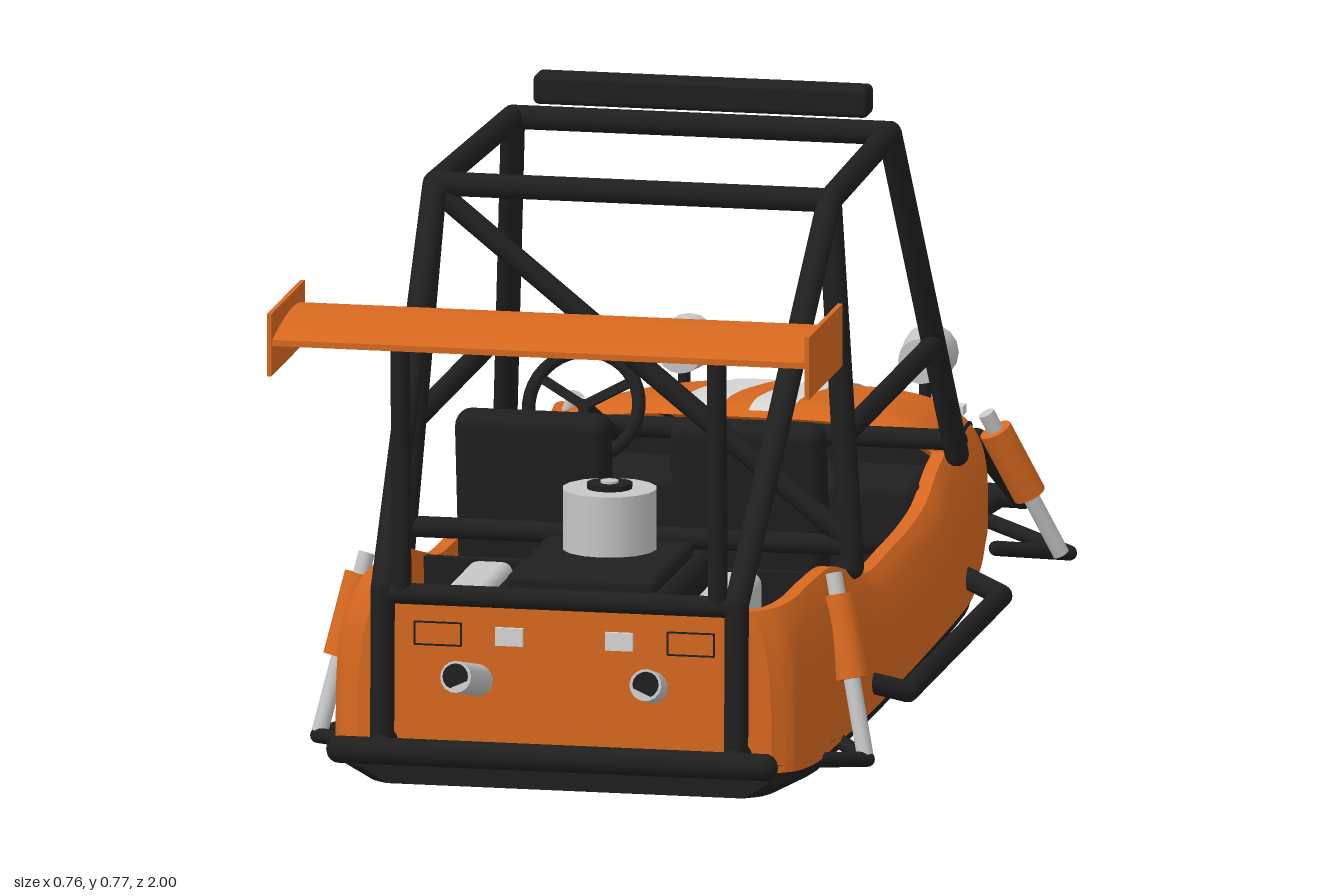
import * as THREE from 'three';
import { toCreasedNormals } from 'three/addons/utils/BufferGeometryUtils.js';
import { RoundedBoxGeometry } from 'three/addons/geometries/RoundedBoxGeometry.js';

const mat = (name, color, side = THREE.FrontSide) => Object.assign(new THREE.MeshStandardMaterial({ color, side }), { name });
const orange = mat('orange paint', 0xd9691f, THREE.DoubleSide);
const black = mat('black', 0x1f1f1f, THREE.DoubleSide);
const silver = mat('silver', 0xc6c6c6);
const white = mat('pale stripe', 0xd9d9d6, THREE.DoubleSide);
const V = (x, y, z) => new THREE.Vector3(x, y, z);

// Body plan: half width, crown height and z along the car
const BASE = 0.05, E = 0.5, RIM = 0.766;
const curve = (keys) => new THREE.CatmullRomCurve3(keys.map(k => V(...k)));
const hoodCurve = curve([[0.12, 0.07, -0.93], [0.165, 0.105, -0.915], [0.2, 0.145, -0.88], [0.225, 0.198, -0.8],
  [0.246, 0.234, -0.7], [0.263, 0.254, -0.6], [0.28, 0.27, -0.5], [0.297, 0.287, -0.38], [0.31, 0.293, -0.3], [0.315, 0.285, -0.25]]);
const tubCurve = curve([[0.315, 0.25, -0.25], [0.318, 0.24, -0.18], [0.32, 0.215, -0.1], [0.322, 0.206, 0], [0.324, 0.205, 0.15], [0.325, 0.207, 0.3],
  [0.325, 0.235, 0.42], [0.324, 0.262, 0.53], [0.322, 0.267, 0.65], [0.318, 0.266, 0.76], [0.302, 0.265, 0.81], [0.275, 0.264, 0.83]]);
const arc = (w, h, a) => [w * Math.sign(Math.cos(a)) * Math.abs(Math.cos(a)) ** E, BASE + (h - BASE) * Math.abs(Math.sin(a)) ** E];
const hoodY = (x, w, h) => BASE + (h - BASE) * (1 - (Math.abs(x) / w) ** (2 / E)) ** (E / 2);
const samples = (c, n, t0 = 0, t1 = 1) => Array.from({ length: n + 1 }, (_, i) => c.getPoint(t0 + (t1 - t0) * i / n));

// Surface through equal rows of points
function loft(rows, crease = 0.7) {
  const n = rows[0].length, idx = [];
  for (let i = 0; i < rows.length - 1; i++) for (let j = 0; j < n - 1; j++) {
    const a = i * n + j, c = a + n;
    idx.push(a, a + 1, c, a + 1, c + 1, c);
  }
  const g = new THREE.BufferGeometry();
  g.setAttribute('position', new THREE.Float32BufferAttribute(rows.flat(2), 3));
  g.setIndex(idx);
  return toCreasedNormals(g, crease);
}

export function createModel() {
  const model = new THREE.Group();
  model.name = 'buggy';
  const add = (name, geo, m, x = 0, y = 0, z = 0) => {
    const o = new THREE.Mesh(geo, m);
    o.name = name;
    o.position.set(x, y, z);
    model.add(o);
    return o;
  };
  const box = (name, m, w, h, d, x, y, z) => add(name, new THREE.BoxGeometry(w, h, d), m, x, y, z);
  const rbox = (name, m, w, h, d, x, y, z, r = 0.015) => add(name, new RoundedBoxGeometry(w, h, d, 3, r), m, x, y, z);
  const rod = (name, m, a, b, r, r2 = r) => {
    const p = V(...a), q = V(...b), d = q.clone().sub(p);
    const o = add(name, new THREE.CylinderGeometry(r2, r, d.length(), 16), m);
    o.position.copy(p).add(q).multiplyScalar(0.5);
    o.quaternion.setFromUnitVectors(V(0, 1, 0), d.normalize());
    return o;
  };
  // Welded pipe run with ball joints
  const pipe = (name, pts, r, m = black) => pts.forEach((p, i) => {
    add(name + 'Joint', new THREE.SphereGeometry(r, 12, 8), m, ...p);
    if (i) rod(name, m, pts[i - 1], p, r);
  });
  const both = (fn) => [1, -1].forEach(fn);

  // Hood
  const hoodRows = samples(hoodCurve, 45).map(p => Array.from({ length: 41 }, (_, j) => [...arc(p.x, p.y, Math.PI * j / 40), p.z]));
  hoodRows.unshift(hoodRows[0].map(() => [0, BASE, -0.932]));
  add('hood', loft(hoodRows), orange);

  // Open tub sides with inner walls
  const side = (p) => {
    const h = BASE + (p.y - BASE) / RIM, end = Math.acos(0.81);
    return Array.from({ length: 11 }, (_, j) => [...arc(p.x, h, end * (j / 10) ** 1.5), p.z]);
  };
  const tub = samples(tubCurve, 66);
  const tubRows = tub.map(p => {
    const s = side(p), [x, y, z] = s[10];
    return [...s, [x - 0.018, y, z], [x - 0.022, 0.05, z]];
  });
  add('leftTubSide', loft(tubRows), orange);
  add('rightTubSide', loft(tubRows.map(r => r.map(([x, y, z]) => [-x, y, z]).reverse())), orange);

  // Rear panel and firewall
  const panel = (pts, depth) => {
    const all = [...pts, ...pts.map(([x, y]) => [-x, y]).reverse()];
    return new THREE.ExtrudeGeometry(new THREE.Shape(all.map(([x, y]) => new THREE.Vector2(x, y))), { depth, bevelEnabled: false });
  };
  add('rearPanel', panel(side(tub[66]), 0.018), orange, 0, 0, 0.812);
  add('firewall', panel(Array.from({ length: 13 }, (_, j) => arc(0.308, 0.28, Math.PI / 2 * j / 12)), 0.008), black, 0, 0, -0.258);

  // Chassis pan
  const pan = [...samples(hoodCurve, 24), ...samples(tubCurve, 24).slice(1)].map(({ x, z }) =>
    [[0, 0.015], [0.86, 0.015], [0.98, 0.035], [1, 0.06], [-1, 0.06], [-0.98, 0.035], [-0.86, 0.015], [0, 0.015]].map(([u, y]) => [u * x, y, z]));
  pan.unshift(pan[0].map(() => [0, 0.045, -0.93]));
  pan.push(pan[pan.length - 1].map(() => [0, 0.04, 0.83]));
  add('chassisPan', loft(pan, 0.4), black);

  both(s => {
    // Hood stripe and shut line following the surface
    const stripe = samples(hoodCurve, 30, 0.2, 0.965).map(p => [0.075, 0.056, 0.037, 0.018].map(x => [s * x, hoodY(x, p.x, p.y) + 0.003, p.z]));
    add('hoodStripe', loft(s > 0 ? stripe : stripe.map(r => r.reverse())), white);
    const seam = samples(hoodCurve, 24, 0.13, 1).map(p => V(s * p.x * 0.9, hoodY(0.9 * p.x, p.x, p.y), p.z));
    add('hoodSeam', new THREE.TubeGeometry(new THREE.CatmullRomCurve3(seam), 60, 0.0028, 6), black);
    // Headlamp on a short stalk
    rod('headlamp', silver, [s * 0.16, 0.273, -0.685], [s * 0.16, 0.273, -0.752], 0.03, 0.037);
    rod('headlampStalk', black, [s * 0.16, 0.2, -0.715], [s * 0.16, 0.25, -0.715], 0.008);
    box('markerLamp', white, 0.016, 0.012, 0.022, s * 0.192, 0.192, -0.775);

    // Roll cage side
    pipe('cageSide', [[s * 0.3, 0.25, -0.24], [s * 0.25, 0.715, -0.05], [s * 0.262, 0.72, 0.395], [s * 0.298, 0.24, 0.425]], 0.016);
    pipe('rearBrace', [[s * 0.262, 0.72, 0.395], [s * 0.235, 0.28, 0.86], [s * 0.235, 0.075, 0.865]], 0.016);
    pipe('doorRail', [[s * 0.283, 0.41, 0.41], [s * 0.283, 0.41, -0.173]], 0.014);
    pipe('nerfBar', [[s * 0.305, 0.09, 0.42], [s * 0.365, 0.07, 0.39], [s * 0.365, 0.07, -0.215], [s * 0.305, 0.09, -0.24]], 0.014);
    rod('wingPost', black, [s * 0.21, 0.27, 0.86], [s * 0.21, 0.635, 0.87], 0.013);
    rod('rearBumperMount', black, [s * 0.235, 0.075, 0.84], [s * 0.235, 0.075, 0.91], 0.016);
    pipe('frontBumperLeg', [[s * 0.235, 0.035, -0.975], [s * 0.195, 0.13, -0.875]], 0.016);
    pipe('frontBumperStay', [[s * 0.2, 0.03, -0.975], [s * 0.16, 0.014, -0.835]], 0.013);

    // Suspension arms and coil-over shocks, front then rear
    pipe('frontArm', [[s * 0.24, 0.05, -0.75], [s * 0.365, 0.035, -0.65], [s * 0.28, 0.05, -0.59]], 0.01);
    pipe('rearArm', [[s * 0.3, 0.05, 0.74], [s * 0.365, 0.035, 0.65], [s * 0.3, 0.05, 0.58]], 0.01);
    [['front', [0.36, 0.04, -0.62], [0.272, 0.235, -0.565]], ['rear', [0.362, 0.04, 0.65], [0.31, 0.27, 0.6]]].forEach(([n, a, b]) => {
      const at = (t) => a.map((v, i) => (v + (b[i] - v) * t) * (i ? 1 : s));
      rod(n + 'ShockRod', silver, at(0), at(1), 0.011);
      rod(n + 'ShockBody', orange, at(0.42), at(0.88), 0.022);
    });

    // Seat: cushion, bolsters, back
    const x = s * 0.143;
    rbox('seatCushion', black, 0.2, 0.07, 0.25, x, 0.13, 0.22, 0.02);
    both(k => rbox('seatBolster', black, 0.03, 0.1, 0.22, x + k * 0.09, 0.14, 0.22));
    rbox('seatBack', black, 0.205, 0.27, 0.05, x, 0.275, 0.325, 0.02).rotation.x = 0.12;

    // Engine details and exhaust
    rbox('valveCover', silver, 0.06, 0.06, 0.21, s * 0.165, 0.215, 0.6);
    rod('header', silver, [s * 0.115, 0.19, 0.72], [s * 0.115, 0.17, 0.82], 0.018);
    rod('exhaustTip', silver, [s * 0.115, 0.155, 0.82], [s * 0.126, 0.18, 0.92], 0.021);
    rod('exhaustBore', black, [s * 0.126, 0.18, 0.915], [s * 0.1262, 0.1805, 0.922], 0.017);
    box('tailPlate', white, 0.037, 0.024, 0.006, s * 0.073, 0.217, 0.832);
    // Outlined rear lamp recess
    both(k => {
      box('lampOutline', black, 0.062, 0.002, 0.003, s * 0.168, 0.217 + k * 0.015, 0.831);
      box('lampOutline', black, 0.002, 0.03, 0.003, s * 0.168 + k * 0.031, 0.217, 0.831);
    });
    // Wing end plate
    box('wingEndPlate', orange, 0.006, 0.083, 0.215, s * 0.357, 0.628, 0.8925);
  });

  // Cage cross members
  pipe('frontRoofBar', [[-0.25, 0.715, -0.05], [0.25, 0.715, -0.05]], 0.016);
  pipe('rearRoofBar', [[-0.262, 0.72, 0.395], [0.262, 0.72, 0.395]], 0.016);
  pipe('cowlBar', [[-0.3, 0.268, -0.243], [0.3, 0.268, -0.243]], 0.014);
  pipe('rearHoopBar', [[-0.297, 0.268, 0.42], [0.297, 0.268, 0.42]], 0.014);
  pipe('hoopDiagonal', [[-0.258, 0.71, 0.397], [0.292, 0.275, 0.42]], 0.014);
  pipe('tailBar', [[-0.235, 0.275, 0.86], [0.235, 0.275, 0.86]], 0.014);
  pipe('rearBumper', [[-0.282, 0.075, 0.91], [0.282, 0.075, 0.91]], 0.018);
  pipe('frontBumper', [[-0.235, 0.035, -0.98], [0.235, 0.035, -0.98]], 0.016);

  // Roof light bar
  rbox('lightBar', black, 0.445, 0.04, 0.042, 0, 0.754, -0.062, 0.008);
  for (let i = 0; i < 4; i++) both(k => box('roofLamp', white, 0.034, 0.026, 0.006, (i - 1.5) * 0.108 + k * 0.018, 0.754, -0.084));

  // Rear wing blade
  const foil = new THREE.Shape();
  foil.moveTo(0.785, 0.638);
  foil.quadraticCurveTo(0.85, 0.664, 0.995, 0.634);
  foil.lineTo(0.995, 0.626);
  foil.quadraticCurveTo(0.86, 0.628, 0.785, 0.638);
  const blade = new THREE.ExtrudeGeometry(foil, { depth: 0.71, bevelEnabled: false, curveSegments: 12 });
  add('wingBlade', blade.rotateY(-Math.PI / 2).translate(0.355, 0, 0), orange);

  // Cockpit fittings
  rbox('dashboard', black, 0.55, 0.1, 0.13, 0, 0.185, -0.185, 0.02);
  box('rearBulkhead', black, 0.56, 0.17, 0.015, 0, 0.14, 0.4);
  rbox('tunnel', black, 0.06, 0.08, 0.5, 0, 0.1, 0.14);
  rod('gearLever', black, [0, 0.13, -0.01], [0, 0.235, -0.015], 0.006);
  add('gearKnob', new THREE.SphereGeometry(0.012, 12, 8), silver, 0, 0.243, -0.015);
  const wheel = add('steeringWheel', new THREE.TorusGeometry(0.073, 0.009, 10, 36), black, -0.14, 0.352, 0.028);
  wheel.rotation.x = -0.46;
  [0, 1, 2].forEach(i => {
    const spoke = new THREE.Mesh(new THREE.BoxGeometry(0.012, 0.073, 0.006).translate(0, 0.036, 0), black);
    spoke.name = 'wheelSpoke';
    spoke.rotation.z = Math.PI / 3 + i * Math.PI * 2 / 3;
    wheel.add(spoke);
  });
  rod('steeringColumn', black, [-0.14, 0.352, 0.028], [-0.14, 0.25, -0.23], 0.009);

  // Engine bay
  box('engineDeck', black, 0.55, 0.02, 0.4, 0, 0.12, 0.61);
  rbox('engineBlock', black, 0.24, 0.15, 0.3, 0, 0.185, 0.585, 0.02);
  rbox('intakeManifold', black, 0.2, 0.03, 0.25, 0, 0.262, 0.6, 0.01);
  rod('airFilter', silver, [0, 0.275, 0.54], [0, 0.357, 0.54], 0.062);
  rod('filterCap', black, [0, 0.357, 0.54], [0, 0.364, 0.54], 0.03);
  rod('filterNut', silver, [0, 0.36, 0.54], [0, 0.367, 0.54], 0.012);
  return model;
}
